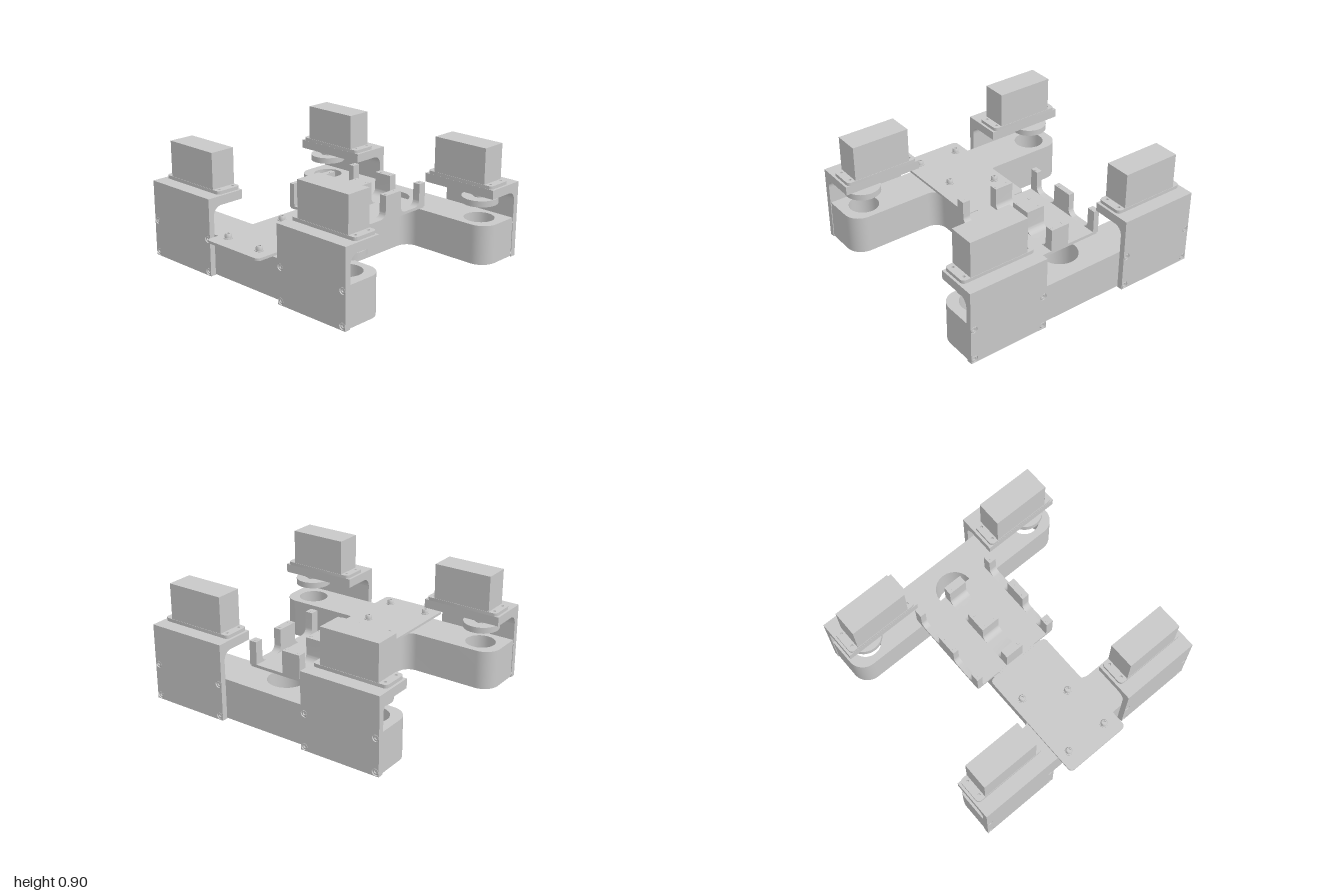
import * as THREE from 'three';
import { toCreasedNormals } from 'three/addons/utils/BufferGeometryUtils.js';

const grey = new THREE.MeshStandardMaterial({ color: 0xc8c8c8 });
grey.name = 'light grey';

function add(parent, name, geometry, x = 0, y = 0, z = 0) {
  const mesh = new THREE.Mesh(geometry, grey);
  mesh.name = name;
  mesh.position.set(x, y, z);
  parent.add(mesh);
  return mesh;
}

const extrude = (shape, depth) => toCreasedNormals(
  new THREE.ExtrudeGeometry(shape, { depth, bevelEnabled: false, curveSegments: 12 }), 0.5);

// Extrude a plan (drawn in x and -z) upwards
const slab = (shape, height) => extrude(shape, height).rotateX(-Math.PI / 2);

// Closed outline with an individual radius at each corner: [x, y, radius]
function roundedShape(points) {
  const shape = new THREE.Shape();
  const n = points.length;
  points.forEach(([x, y, r = 0], i) => {
    const corner = new THREE.Vector2(x, y);
    const toward = (p) => new THREE.Vector2(p[0], p[1]).sub(corner).normalize().multiplyScalar(r).add(corner);
    const a = toward(points[(i + n - 1) % n]);
    const b = toward(points[(i + 1) % n]);
    if (i === 0) shape.moveTo(a.x, a.y);
    else shape.lineTo(a.x, a.y);
    if (r > 0) {
      // circular arc as one cubic, for right-angled corners
      const c1 = a.clone().lerp(corner, 0.5523);
      const c2 = b.clone().lerp(corner, 0.5523);
      shape.bezierCurveTo(c1.x, c1.y, c2.x, c2.y, b.x, b.y);
    }
  });
  shape.closePath();
  return shape;
}

const rect = (x0, x1, y0, y1, r = 0) => roundedShape([[x0, y0, r], [x1, y0, r], [x1, y1, r], [x0, y1, r]]);

function punch(shape, x, y, r) {
  const hole = new THREE.Path();
  hole.absarc(x, y, r, 0, Math.PI * 2, true);
  shape.holes.push(hole);
}

// Screw head with a socket, standing on y = 0
function screwHead(r, h) {
  const p = [[0, h * 0.3], [r * 0.45, h * 0.3], [r * 0.45, h], [r * 0.75, h], [r, h * 0.6], [r, 0]];
  return toCreasedNormals(new THREE.LatheGeometry(
    p.map(([a, b]) => new THREE.Vector2(a, b)).reverse(), 20), 0.6);
}

// Lower frame: two long legs joined by a crossbar, with bored holes
function buildFrame(model) {
  const xl = -0.855, xr = 0.95, il = -0.515, ir = 0.612, end = 0.99, bar = 0.23, f = 0.1, c = 0.13;
  const shape = roundedShape([
    [xl, -end], [il, -end, c], [il, -bar, f], [ir, -bar, f], [ir, -end, c], [xr, -end],
    [xr, end], [ir, end, c], [ir, bar, f], [il, bar, f], [il, end, c], [xl, end],
  ]);
  punch(shape, 0.69, 0, 0.145);
  punch(shape, -0.59, 0, 0.14);
  for (const z of [-0.8, 0.8]) for (const x of [-0.685, 0.785]) punch(shape, x, z, 0.117);
  add(model, 'frame', slab(shape, 0.31), 0, 0.01, 0);
}

// Side bracket with overhanging arm, servo and horn.
// side: +1 or -1 in x; outer: x of the outside face; end: +1 or -1 in z
function buildCorner(model, side, outer, end) {
  const g = new THREE.Group();
  g.name = 'servoCorner';
  model.add(g);
  const inward = (d) => outer - side * d;
  const zMin = end > 0 ? 0.355 : -0.995;
  const thick = 0.046;

  // wall with counterbored screw holes, drawn in -z and y, and its sunken screws
  const wall = rect(-zMin - 0.64, -zMin, 0.004, 0.6);
  for (const y of [0.035, 0.288]) for (const z of [0.383, 0.967]) {
    punch(wall, -end * z, y, 0.027);
    add(g, 'bracketScrew', screwHead(0.0265, 0.014), inward(0.018), y, end * z).rotation.z = -side * Math.PI / 2;
  }
  add(g, 'bracketWall', extrude(wall, thick).rotateY(Math.PI / 2), Math.min(outer, inward(thick)), 0, 0);

  // arm with a fillet under its root
  const outline = [[0.04, 0.6], [0.32, 0.6], [0.32, 0.53], [thick, 0.53, 0.07], [thick, 0.455], [0.04, 0.455]]
    .map(([d, y, r]) => [inward(d), y, r]);
  add(g, 'bracketArm', extrude(roundedShape(outline), 0.64), 0, 0, zMin);

  // servo with a drilled mounting flange
  const sx = side > 0 ? 0.782 : -0.683;
  const flange = rect(-0.105, 0.105, -0.3, 0.3, 0.03);
  for (const x of [-0.063, 0.063]) for (const z of [-0.26, 0.26]) punch(flange, x, z, 0.011);
  add(g, 'servoFlange', slab(flange, 0.026), sx, 0.6, end * 0.676);
  add(g, 'servoBody', new THREE.BoxGeometry(0.205, 0.28, 0.47), sx, 0.765, end * 0.675);

  // output shaft and round horn above the leg bore
  const hx = side > 0 ? 0.785 : -0.685;
  add(g, 'servoShaft', new THREE.CylinderGeometry(0.075, 0.075, 0.02, 32), hx, 0.522, end * 0.8);
  add(g, 'hornHub', new THREE.CylinderGeometry(0.052, 0.052, 0.04, 32), hx, 0.505, end * 0.8);
  add(g, 'servoHorn', new THREE.CylinderGeometry(0.14, 0.14, 0.048, 48), hx, 0.469, end * 0.8);
}

// Cover plate with four domed screws
function buildPlate(model) {
  add(model, 'coverPlate', slab(rect(-1, -0.075, -0.265, 0.275, 0.035), 0.02), 0, 0.321, 0);
  for (const [x, z] of [[-0.87, -0.185], [-0.34, -0.185], [-0.88, 0.155], [-0.51, 0.12]]) {
    add(model, 'plateWasher', new THREE.CylinderGeometry(0.033, 0.033, 0.006, 24), x, 0.344, z);
    add(model, 'plateScrew', screwHead(0.026, 0.032), x, 0.346, z);
  }
}

// Board mount: base tray with three rows of filleted posts
function buildMount(model) {
  const x0 = -0.063, x1 = 0.675, base = 0.343, top = 0.522, r = 0.05;
  add(model, 'mountBase', slab(rect(x0, x1, -0.355, 0.385, 0.02), base - 0.32), 0, 0.32, 0);
  add(model, 'mountTab', new THREE.BoxGeometry(0.02, 0.02, 0.35), -0.068, 0.332, -0.005);
  const row = roundedShape([
    [x0, 0.33], [x1, 0.33], [x1, top], [0.607, top], [0.607, base, r], [0.392, base, r],
    [0.392, top], [0.218, top], [0.218, base, r], [0.007, base, r], [0.007, top], [x0, top],
  ]);
  const rows = [[-0.385, 0.047, [-0.354]], [-0.1, 0.155, [-0.068, 0.035]], [0.294, 0.061, [0.322]]];
  for (const [z, depth, inserts] of rows) {
    add(model, 'mountPosts', extrude(row, depth), 0, 0, z);
    for (const x of [-0.03, 0.25, 0.358, 0.64]) for (const s of inserts) {
      add(model, 'postInsert', new THREE.CylinderGeometry(0.012, 0.012, 0.004, 16), x, top, s);
    }
  }
}

export function createModel() {
  const model = new THREE.Group();
  model.name = 'servoFrame';
  buildFrame(model);
  for (const end of [1, -1]) {
    buildCorner(model, 1, 0.996, end);
    buildCorner(model, -1, -0.9, end);
  }
  buildPlate(model);
  buildMount(model);
  return model;
}
